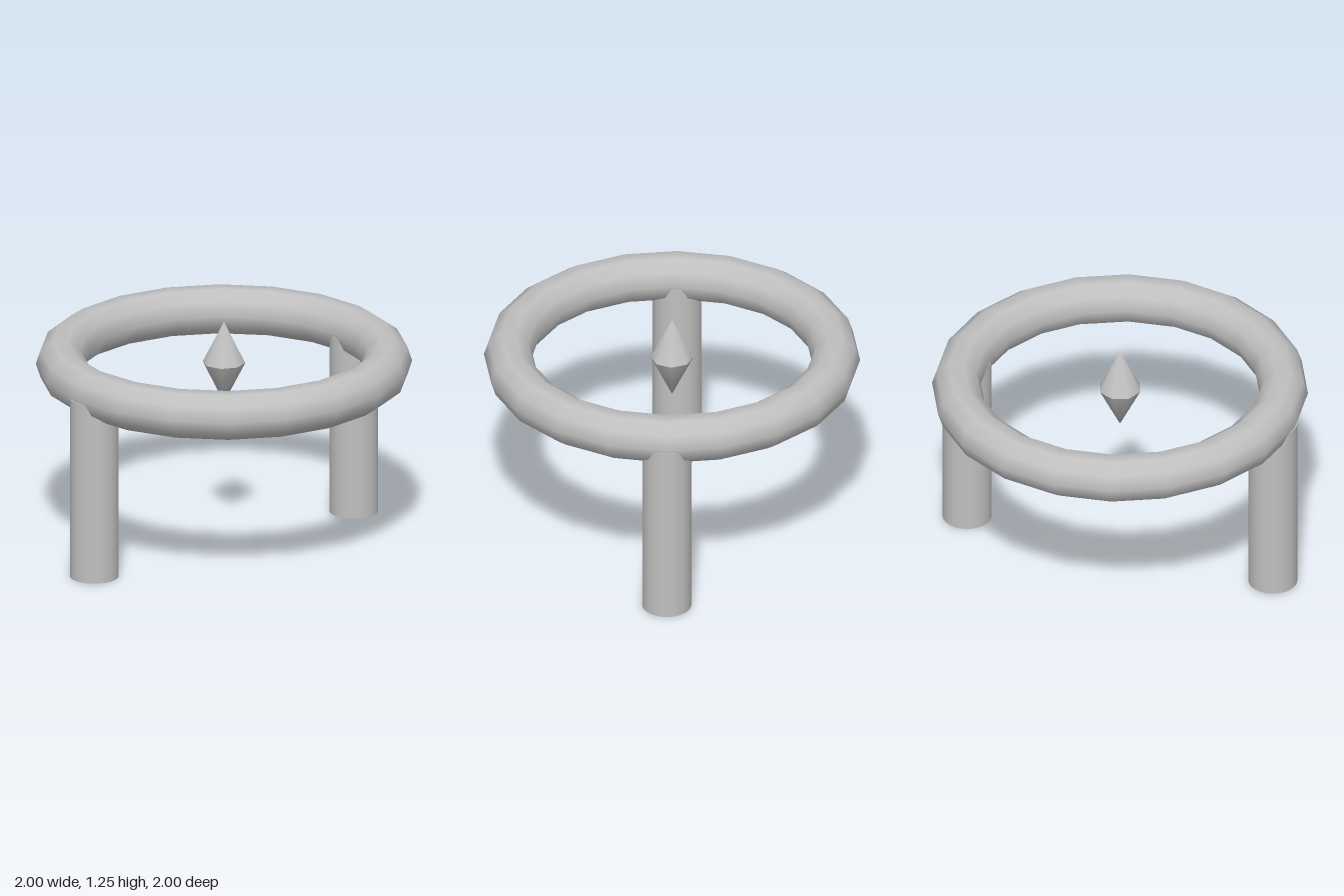
import * as THREE from 'three';
import { mergeVertices } from 'three/addons/utils/BufferGeometryUtils.js';

const TUBE = 0.13;      // thickness radius shared by ring and legs
const RING = 0.87;      // centreline radius of the ring
const RING_Y = 1.018;   // height of the ring and the crystal's waist

export function createModel() {
  const model = new THREE.Group();
  const grey = new THREE.MeshStandardMaterial({ color: 0xc0c0c0 });
  grey.name = 'light grey';

  function add(name, geometry, x, y, parent = model) {
    const mesh = new THREE.Mesh(geometry, grey);
    mesh.name = name;
    mesh.position.set(x, y, 0);
    parent.add(mesh);
    return mesh;
  }

  // Horizontal ring: twenty segments around, ten around the tube
  const ring = new THREE.TorusGeometry(RING, TUBE, 10, 20);
  ring.rotateX(Math.PI / 2);
  add('ring', ring, 0, RING_Y);

  // Two round legs running up into the ring
  const leg = new THREE.CylinderGeometry(TUBE, TUBE, 1, 32);
  add('leftLeg', leg, RING, 0.5);
  add('rightLeg', leg, -RING, 0.5);

  // Floating crystal: two eight-sided cones base to base, smooth to the tip
  const crystal = new THREE.Group();
  crystal.name = 'crystal';
  crystal.position.y = RING_Y;
  model.add(crystal);
  const height = 0.227;
  let cone = new THREE.ConeGeometry(0.114, height, 8, 1, true);
  cone.deleteAttribute('normal');
  cone.deleteAttribute('uv');
  cone = mergeVertices(cone);
  cone.computeVertexNormals();
  add('crystalTop', cone, 0, height / 2, crystal);
  add('crystalBottom', cone, 0, -height / 2, crystal).rotation.x = Math.PI;

  return model;
}
